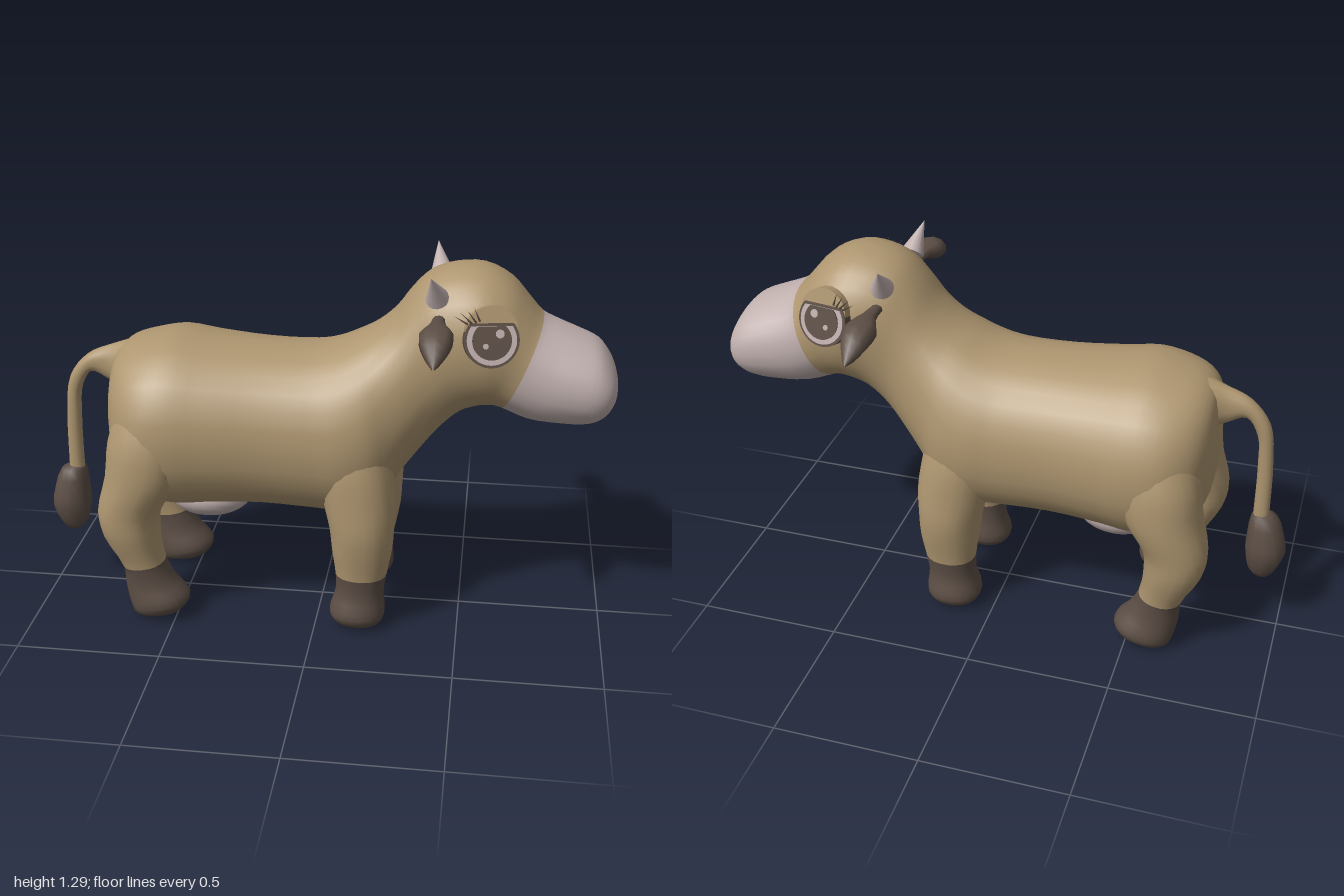
import * as THREE from 'three';

const mat = (name, color, extra = {}) => {
  const m = new THREE.MeshStandardMaterial({ color, ...extra });
  m.name = name;
  return m;
};

// Smooth skin over rings [topX, topY, bottomX, bottomY, halfWidth, centreZ].
// Rings after index `split` take the second material.
function loft(rings, split = Infinity, sub = 3, sides = 28, p = 0.92) {
  const pow = (v) => Math.sign(v) * Math.abs(v) ** p;
  const tops = new THREE.CatmullRomCurve3(rings.map((r) => new THREE.Vector3(r[0], r[1], r[4])));
  const bottoms = new THREE.CatmullRomCurve3(rings.map((r) => new THREE.Vector3(r[2], r[3], r[5] || 0)));
  const n = (rings.length - 1) * sub;
  const pos = [], idx = [];
  for (let i = 0; i <= n; i++) {
    const t = tops.getPoint(i / n), b = bottoms.getPoint(i / n);
    for (let j = 0; j < sides; j++) {
      const a = (j / sides) * Math.PI * 2, c = pow(Math.cos(a)), s = pow(Math.sin(a));
      pos.push((t.x + b.x) / 2 + ((t.x - b.x) / 2) * c,
        (t.y + b.y) / 2 + ((t.y - b.y) / 2) * c, b.z + Math.max(t.z, 0.001) * s);
    }
  }
  for (let i = 0; i < n; i++) {
    for (let j = 0; j < sides; j++) {
      const a = i * sides + j, b = i * sides + ((j + 1) % sides);
      idx.push(a, b, a + sides, b, b + sides, a + sides);
    }
  }
  const g = new THREE.BufferGeometry();
  g.setAttribute('position', new THREE.Float32BufferAttribute(pos, 3));
  g.setIndex(idx);
  const cut = Math.min(split * sub * sides * 6, idx.length);
  g.addGroup(0, cut, 0);
  if (cut < idx.length) g.addGroup(cut, idx.length - cut, 1);
  g.computeVertexNormals();
  return g;
}

export function createModel() {
  const root = new THREE.Group();
  root.name = 'cow';
  const tan = mat('tan hide', 0xae9670);
  const dark = mat('dark brown', 0x5c4e45);
  const pale = mat('pale pink grey', 0xc0b0ae);
  const add = (name, geo, material, parent = root) => {
    const m = new THREE.Mesh(geo, material);
    m.name = name;
    parent.add(m);
    return m;
  };

  // Rump, barrel, neck and head in one skin, ending in the pale muzzle
  const bodyRings = [
    [-0.735, 0.78, -0.735, 0.68, 0.01], [-0.72, 0.92, -0.725, 0.54, 0.17],
    [-0.67, 0.97, -0.68, 0.45, 0.26], [-0.59, 0.995, -0.6, 0.4, 0.315],
    [-0.5, 1.01, -0.5, 0.385, 0.325], [-0.38, 0.995, -0.38, 0.395, 0.31],
    [-0.2, 0.98, -0.2, 0.4, 0.288], [-0.03, 0.98, 0, 0.39, 0.285],
    [0.05, 0.995, 0.12, 0.385, 0.288], [0.12, 1.025, 0.22, 0.43, 0.272],
    [0.19, 1.065, 0.27, 0.52, 0.24], [0.25, 1.12, 0.34, 0.62, 0.215],
    [0.3, 1.19, 0.41, 0.71, 0.202], [0.36, 1.25, 0.48, 0.775, 0.21],
    [0.44, 1.28, 0.54, 0.8, 0.222], [0.54, 1.283, 0.565, 0.805, 0.225],
    [0.63, 1.24, 0.58, 0.805, 0.215], [0.69, 1.175, 0.59, 0.805, 0.205],
    [0.74, 1.12, 0.61, 0.8, 0.2], [0.8, 1.09, 0.7, 0.765, 0.2],
    [0.87, 1.06, 0.8, 0.755, 0.2], [0.93, 1.03, 0.9, 0.757, 0.193],
    [0.97, 0.98, 0.955, 0.785, 0.168], [0.99, 0.935, 0.988, 0.835, 0.115],
    [1.0, 0.89, 1.0, 0.87, 0.01],
  ];
  add('bodyAndMuzzle', loft(bodyRings, 18), [tan, pale]);

  // Udder
  const udder = add('udder', new THREE.SphereGeometry(1, 24, 16), pale);
  udder.scale.set(0.155, 0.085, 0.13);
  udder.position.set(-0.41, 0.4, 0);

  // Tail and tuft
  add('tail', loft([
    [-0.68, 0.78, -0.66, 0.97, 0.09], [-0.755, 0.81, -0.74, 0.945, 0.04],
    [-0.82, 0.84, -0.83, 0.905, 0.03], [-0.86, 0.78, -0.9, 0.82, 0.028],
    [-0.872, 0.66, -0.922, 0.68, 0.026], [-0.875, 0.44, -0.93, 0.44, 0.026],
  ], Infinity, 4, 14), tan);
  add('tailTuft', loft([
    [-0.895, 0.475, -0.915, 0.475, 0.01], [-0.87, 0.46, -0.96, 0.455, 0.045],
    [-0.862, 0.38, -0.99, 0.38, 0.065], [-0.86, 0.32, -1.0, 0.32, 0.073],
    [-0.875, 0.25, -0.975, 0.25, 0.055], [-0.905, 0.215, -0.95, 0.215, 0.025],
    [-0.925, 0.21, -0.93, 0.21, 0.002],
  ], Infinity, 2, 12), dark);

  // Leg rows: height, centre x, radius x, centre z, radius z, slope
  const frontRows = [
    [0.78, 0.12, 0.1, 0.13, 0.1, 0], [0.62, 0.13, 0.125, 0.155, 0.125, 0],
    [0.48, 0.15, 0.125, 0.17, 0.122, 0], [0.38, 0.16, 0.112, 0.178, 0.118, 0],
    [0.3, 0.162, 0.105, 0.185, 0.1, 0], [0.205, 0.16, 0.09, 0.188, 0.08, 0],
    [0.13, 0.155, 0.085, 0.185, 0.08, 0], [0.055, 0.148, 0.098, 0.188, 0.094, 0],
    [0.018, 0.15, 0.08, 0.19, 0.07, 0], [0.0, 0.15, 0.004, 0.19, 0.004, 0],
  ];
  const hindRows = [
    [0.82, -0.56, 0.11, 0.18, 0.1, 0], [0.68, -0.575, 0.14, 0.195, 0.135, 0],
    [0.55, -0.595, 0.135, 0.205, 0.135, 0], [0.42, -0.65, 0.11, 0.22, 0.108, 0],
    [0.33, -0.648, 0.1, 0.22, 0.1, 0], [0.21, -0.61, 0.075, 0.213, 0.078, 0.01],
    [0.13, -0.59, 0.088, 0.21, 0.08, 0.015], [0.06, -0.558, 0.105, 0.21, 0.094, 0.02],
    [0.02, -0.565, 0.085, 0.21, 0.07, 0.01], [0.005, -0.565, 0.004, 0.21, 0.004, 0],
  ];
  const leg = (rows, s) => loft(rows.map(([y, x, rx, z, rz, k]) =>
    [x + rx, y + k, x - rx, y - k, rz, z * s]), 5, 3, 22);

  // Eye disc, cut straight along the lid line
  const disc = (r, cut, depth) => {
    const a = Math.asin(Math.min(1, cut / r));
    const shape = new THREE.Shape();
    shape.absarc(0, 0, r, Math.PI - a, Math.PI * 2 + a, false);
    return new THREE.ExtrudeGeometry(shape, { depth, bevelEnabled: false, curveSegments: 28 });
  };

  for (const s of [1, -1]) {
    const side = s > 0 ? 'left' : 'right';
    add(side + 'FrontLeg', leg(frontRows, s), [tan, dark]);
    add(side + 'HindLeg', leg(hindRows, s), [tan, dark]);

    // Leaf-shaped ear, lofted outwards and turned to its side
    const ear = add(side + 'Ear', loft([
      [0.18, 1.16, 0.18, 1.13, 0.02], [0.26, 1.168, 0.26, 1.132, 0.028],
      [0.32, 1.172, 0.32, 1.102, 0.056], [0.38, 1.162, 0.38, 1.085, 0.048],
      [0.43, 1.122, 0.43, 1.076, 0.025], [0.468, 1.086, 0.468, 1.08, 0.003],
    ], Infinity, 2, 10), dark);
    ear.rotation.y = -s * Math.PI / 2;
    ear.position.x = 0.4;

    // Horn
    const from = new THREE.Vector3(0.392, 1.205, 0.145 * s);
    const dir = new THREE.Vector3(0.373, 1.295, 0.222 * s).sub(from);
    const horn = add(side + 'Horn', new THREE.ConeGeometry(0.04, dir.length(), 16), pale);
    horn.position.copy(from).addScaledVector(dir, 0.5);
    horn.quaternion.setFromUnitVectors(new THREE.Vector3(0, 1, 0), dir.normalize());

    // Eye: lid behind, then rim, white, iris and glints
    const eye = new THREE.Group();
    eye.name = side + 'Eye';
    eye.position.set(0.57, 1.1, 0.222 * s);
    eye.rotation.order = 'YXZ';
    eye.rotation.set(-0.24, s > 0 ? 0.15 : Math.PI - 0.15, 0);
    root.add(eye);
    const lid = add('eyelid', disc(0.085, 0.085, 0.04), tan, eye);
    lid.position.set(0, 0.025, -0.025);
    add('eyeRim', disc(0.089, 0.055, 0.04), dark, eye).position.z = -0.022;
    add('eyeWhite', disc(0.08, 0.046, 0.004), pale, eye).position.z = 0.018;
    add('iris', disc(0.063, 0.046, 0.004), dark, eye).position.z = 0.022;
    for (const [x, y, r] of [[0.025, 0.022, 0.014], [-0.02, -0.018, 0.009]]) {
      add('glint', disc(r, r, 0.003), pale, eye).position.set(x * s, y, 0.026);
    }
    // Lashes fan out from the rear corner of the lid
    for (let i = 0; i < 4; i++) {
      const lash = add('eyelash', new THREE.ConeGeometry(0.004, 0.055, 5), dark, eye);
      lash.position.set((-0.1 + i * 0.017) * s, 0.066 + i * 0.006, 0.025);
      lash.rotation.set(0.4, 0, s * (1.0 - i * 0.2));
    }
  }
  return root;
}
